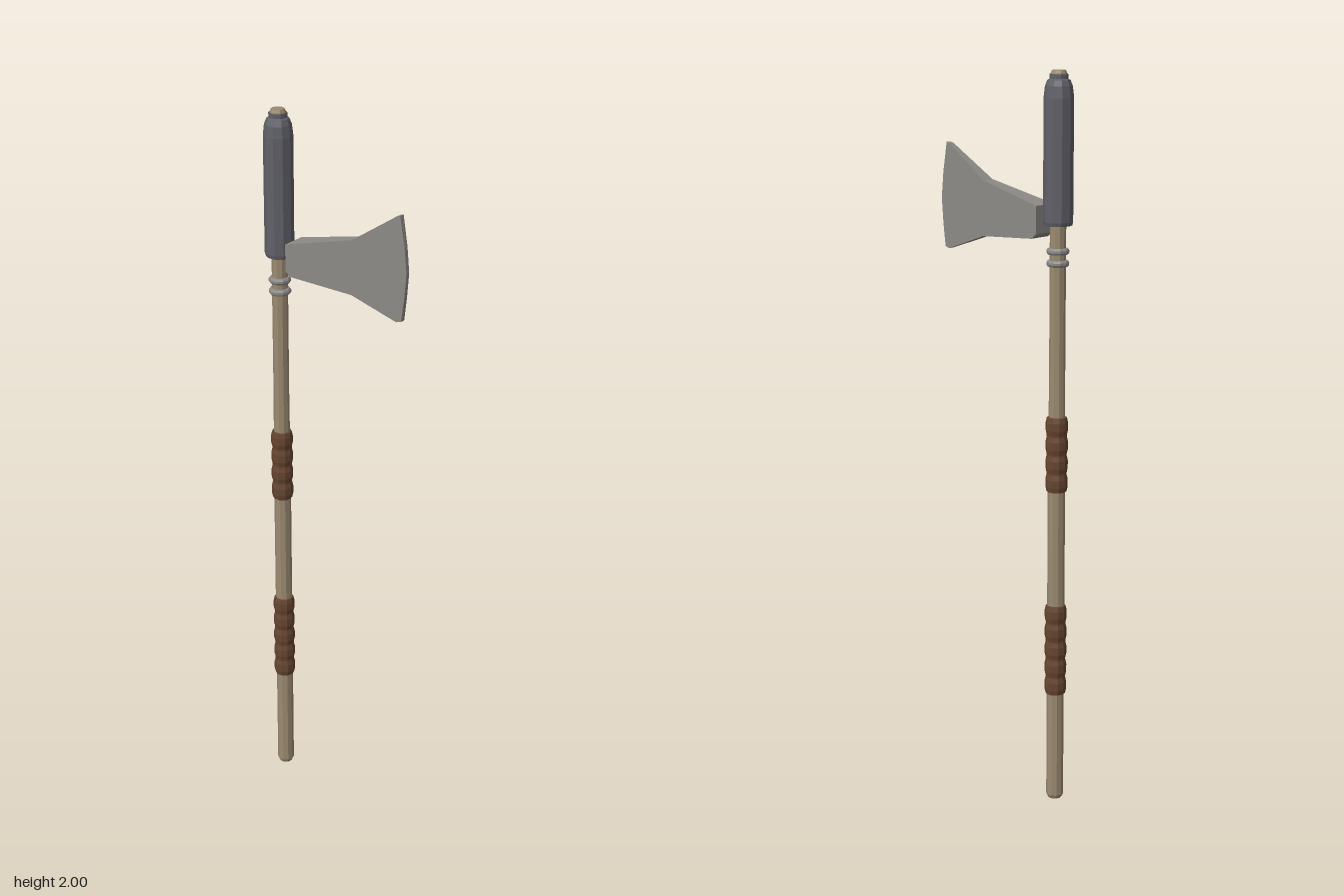
import * as THREE from 'three';

const SIDES = 10;
const POLE_X = -0.188;

const mat = (color) => new THREE.MeshStandardMaterial({ color, flatShading: true });
const wood = mat(0x9a8a70);
const leather = mat(0x664530);
const iron = mat(0x606068);
const steel = mat(0x8c8a87);

// Faceted turned part around the pole, from [radius, y] pairs
function turned(name, profile, material) {
  const points = profile.map(([r, y]) => new THREE.Vector2(r, y));
  const mesh = new THREE.Mesh(new THREE.LatheGeometry(points, SIDES), material);
  mesh.rotation.y = Math.PI / 2;
  mesh.position.x = POLE_X;
  mesh.name = name;
  return mesh;
}

// Grip made of overlapping bulging wraps
function grip(name, bottom, top, wraps) {
  const step = (top - bottom) / wraps;
  const profile = [[0.02, bottom]];
  for (let i = 0; i < wraps; i++) {
    const y = bottom + i * step;
    profile.push([0.027, y + 0.002], [0.030, y + step * 0.3], [0.030, y + step * 0.7], [0.027, y + step - 0.002]);
  }
  profile.push([0.02, top]);
  return turned(name, profile, leather);
}

// Flared blade: outline extruded, then thinned towards the cutting edge
function blade() {
  const outline = [
    [-0.142, 1.575], [-0.125, 1.562], [0.06, 1.55], [0.195, 1.503], [0.21, 1.507],
    [0.218, 1.57], [0.224, 1.64], [0.217, 1.71], [0.203, 1.792], [0.193, 1.789],
    [0.06, 1.70], [-0.142, 1.65],
  ];
  const shape = new THREE.Shape(outline.map(([x, y]) => new THREE.Vector2(x, y)));
  const geo = new THREE.ExtrudeGeometry(shape, { depth: 1, bevelEnabled: false });
  const pos = geo.attributes.position;
  for (let i = 0; i < pos.count; i++) {
    const t = (pos.getX(i) + 0.142) / 0.366;
    const half = THREE.MathUtils.lerp(0.035, 0.006, t);
    pos.setZ(i, pos.getZ(i) > 0.5 ? half : -half);
  }
  geo.computeVertexNormals();
  const mesh = new THREE.Mesh(geo, steel);
  mesh.name = 'blade';
  return mesh;
}

export function createModel() {
  const model = new THREE.Group();
  model.name = 'axe';

  // Wooden pole with chamfered ends
  model.add(turned('pole', [
    [0, 0], [0.019, 0], [0.0235, 0.01], [0.0235, 0.9], [0.0215, 1.2],
    [0.0215, 1.992], [0.018, 2], [0, 2],
  ], wood));

  // Leather grips
  model.add(grip('lowerGrip', 0.305, 0.562, 5));
  model.add(grip('upperGrip', 0.88, 1.088, 4));

  // Ringed collar below the head
  for (const y of [1.5, 1.532]) {
    model.add(turned('collarRing', [
      [0.02, y - 0.009], [0.027, y - 0.008], [0.030, y - 0.003],
      [0.030, y + 0.003], [0.027, y + 0.008], [0.02, y + 0.009],
    ], steel));
  }

  // Iron sleeve around the top of the pole
  model.add(turned('sleeve', [
    [0.02, 1.6], [0.037, 1.6], [0.0395, 1.61], [0.0395, 1.93], [0.036, 1.96],
    [0.030, 1.975], [0.0245, 1.978], [0.0245, 1.99], [0.02, 1.99],
  ], iron));

  model.add(blade());
  return model;
}
